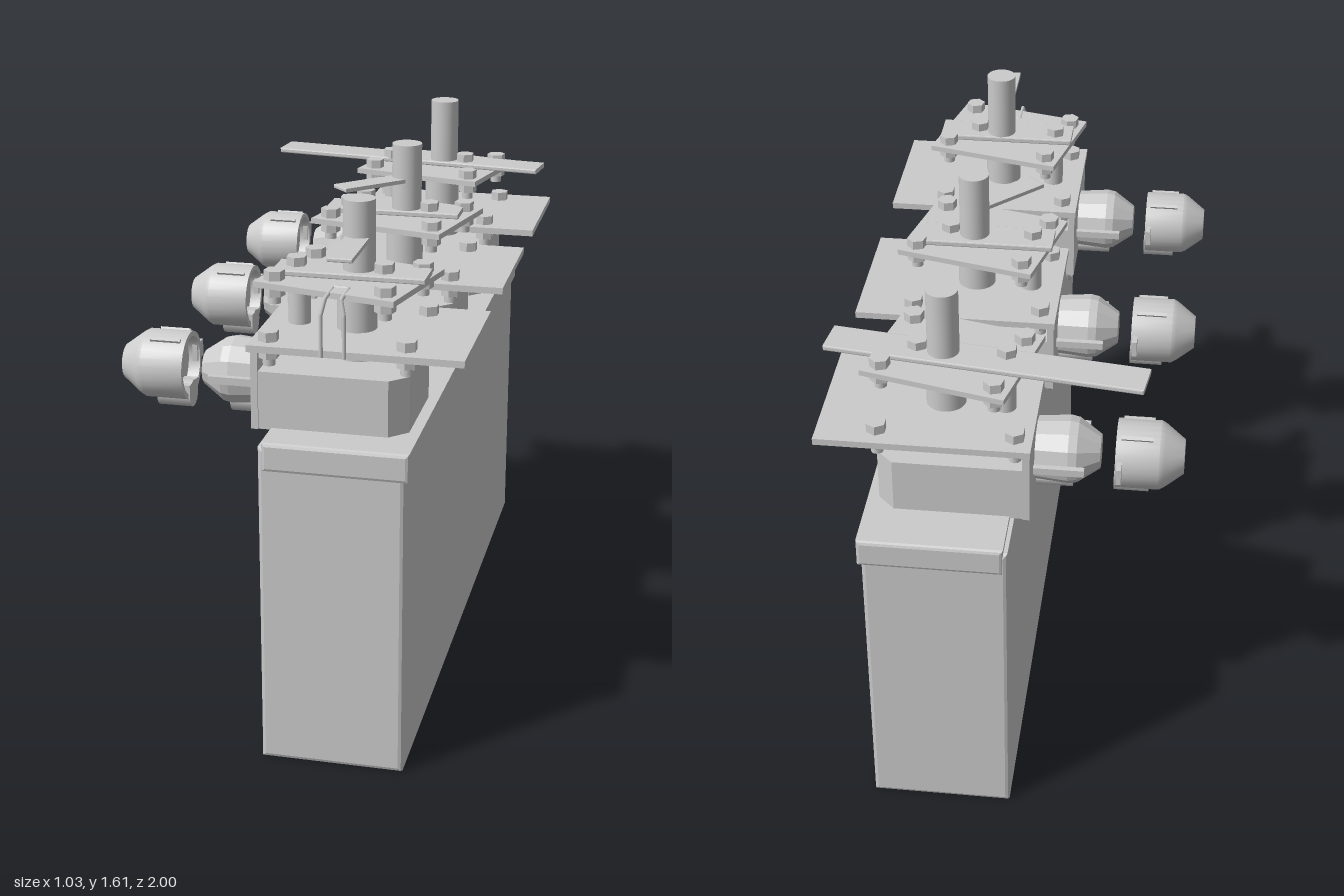
import * as THREE from 'three';
import { toCreasedNormals } from 'three/addons/utils/BufferGeometryUtils.js';

const mat = new THREE.MeshStandardMaterial({ color: 0xcccccc, side: THREE.DoubleSide });
const flatMat = new THREE.MeshStandardMaterial({ color: 0xcccccc, side: THREE.DoubleSide, flatShading: true });

function add(parent, name, geometry, x = 0, y = 0, z = 0, material = mat) {
  const mesh = new THREE.Mesh(geometry, material);
  mesh.name = name;
  mesh.position.set(x, y, z);
  parent.add(mesh);
  return mesh;
}

const box = (w, h, d) => new THREE.BoxGeometry(w, h, d);
const rod = (r, h, sides = 24) => new THREE.CylinderGeometry(r, r, h, sides);

// Block with softly bevelled edges, centred on its origin
function bevelBox(w, h, d, b) {
  const s = new THREE.Shape([[-1, -1], [1, -1], [1, 1], [-1, 1]].map(
    ([i, j]) => new THREE.Vector2(i * (w / 2 - b), j * (h / 2 - b))));
  const g = new THREE.ExtrudeGeometry(s, { depth: d - 2 * b, bevelSize: b, bevelThickness: b, bevelSegments: 2 });
  return toCreasedNormals(g.translate(0, 0, b - d / 2), 0.3);
}

// Hex bolt through a plate: head above, nut and shank end below
function bolt(parent, x, z, top, bottom) {
  const g = new THREE.Group();
  g.name = 'bolt';
  g.position.set(x, 0, z);
  add(g, 'boltHead', rod(0.03, 0.028, 6), 0, top + 0.014, 0, flatMat);
  add(g, 'boltNut', rod(0.03, 0.03, 6), 0, bottom - 0.015, 0, flatMat);
  add(g, 'boltShank', rod(0.018, top - bottom + 0.05, 12), 0, bottom - 0.052 + (top - bottom + 0.05) / 2, 0);
  parent.add(g);
}

// Body of revolution lying along x; points are [distance towards -x, radius]
function lathe(points, sides) {
  const g = new THREE.LatheGeometry(points.map(([a, r]) => new THREE.Vector2(r, a)), sides);
  return toCreasedNormals(g.rotateZ(Math.PI / 2), 0.5);
}

// Pedestal outline with the two right corners cut off
function pedestalGeometry() {
  const c = 0.05, w = 0.195;
  const s = new THREE.Shape([[-0.08, -w], [0.345 - c, -w], [0.345, -w + c],
    [0.345, w - c], [0.345 - c, w], [-0.08, w]].map(p => new THREE.Vector2(...p)));
  return new THREE.ExtrudeGeometry(s, { depth: 0.17, bevelEnabled: false }).rotateX(-Math.PI / 2);
}

// Plug and socket pair on the left-hand side of a unit
function connector() {
  const g = new THREE.Group();
  g.name = 'connector';
  g.position.set(0, 1.085, 0.01);
  add(g, 'plug', lathe([[0.08, 0.09], [0.19, 0.1], [0.215, 0.095], [0.28, 0.05], [0.28, 0.001]], 12), 0, 0, 0, flatMat);
  add(g, 'socketCup', lathe([[0.36, 0.001], [0.36, 0.085], [0.325, 0.085], [0.325, 0.1], [0.45, 0.1],
    [0.465, 0.092], [0.52, 0.05], [0.52, 0.001]], 28));
  // Clamp lugs beneath plug and socket
  for (const [x, len] of [[-0.145, 0.11], [-0.37, 0.1]]) {
    add(g, 'clampLug', rod(0.04, len, 16).rotateZ(Math.PI / 2), x, -0.085, 0);
    add(g, 'lugWeb', box(len, 0.04, 0.08), x, -0.07, 0);
  }
  for (const s of [-1, 1]) {
    add(g, 'guidePin', box(0.15, 0.022, 0.018), -0.165, 0.005, s * 0.115);
    // Ribs lying along the cup wall
    const rib = add(g, 'cupRib', box(0.09, 0.012, 0.012), -0.385, 0.087, s * 0.05);
    rib.rotation.x = s * 0.52;
  }
  add(g, 'cupTab', box(0.015, 0.05, 0.06), -0.338, 0.01, -0.105);
  return g;
}

// One switch unit without its handle
function switchUnit() {
  const u = new THREE.Group();
  u.name = 'switchUnit';
  add(u, 'pedestal', pedestalGeometry(), 0, 0.98, 0);
  add(u, 'sideWall', box(0.02, 0.235, 0.4), -0.085, 1.098, 0);
  add(u, 'basePlate', box(0.61, 0.02, 0.448), 0.205, 1.225, 0);
  for (const x of [-0.05, 0.34])
    for (const z of [-0.16, 0.165]) bolt(u, x, z, 1.235, 1.215);

  // Turned upper plate with its corner bolts
  const upper = new THREE.Group();
  upper.name = 'upperPlateGroup';
  upper.position.set(0.145, 0, 0.015);
  upper.rotation.y = -0.235;
  add(upper, 'upperPlate', box(0.43, 0.017, 0.34), 0, 1.382, 0);
  for (const x of [-0.17, 0.17])
    for (const z of [-0.125, 0.125]) bolt(upper, x, z, 1.39, 1.374);
  u.add(upper);

  add(u, 'column', rod(0.057, 0.23), 0.165, 1.265, 0.002);
  add(u, 'shaft', rod(0.046, 0.46), 0.17, 1.38, 0);
  add(u, 'standoffPost', rod(0.032, 0.14), -0.005, 1.305, -0.01);
  bolt(u, -0.01, 0, 1.405, 1.374);
  bolt(u, 0.245, 0.015, 1.405, 1.374);

  // Pull ring hanging by the pedestal
  const ring = add(u, 'pullRing', new THREE.TorusGeometry(0.066, 0.007, 8, 28), -0.06, 0.915, 0.01);
  ring.rotation.set(0, Math.PI / 2, 0);
  ring.rotateX(0.13);
  u.add(connector());
  return u;
}

// Thin flat pointer running out from the shaft at a given turn
function pointer(parent, turn) {
  const p = new THREE.Group();
  p.name = 'pointer';
  p.position.set(0.17, 1.5, 0);
  p.rotation.y = turn;
  add(p, 'pointerBlade', bevelBox(0.07, 0.012, 0.24, 0.003), 0, 0, 0.125);
  parent.add(p);
}

export function createModel() {
  const model = new THREE.Group();
  model.name = 'switchCabinet';

  // Tank and its lid, which overhangs on the right
  add(model, 'tank', bevelBox(0.415, 0.97, 1.99, 0.012), 0.158, 0.485, 0);
  add(model, 'lid', bevelBox(0.415, 0.085, 2, 0.01), 0.17, 0.943, 0);

  const units = [0.685, 0.01, -0.643].map(z => {
    const u = switchUnit();
    u.position.z = z;
    model.add(u);
    return u;
  });

  // Short crossbars and pointers on the first two units
  add(units[0], 'crossbar', bevelBox(0.435, 0.018, 0.112, 0.004), 0.152, 1.398, 0.008);
  add(units[1], 'crossbar', bevelBox(0.415, 0.018, 0.112, 0.004), 0.133, 1.398, -0.007);
  pointer(units[0], 0);
  pointer(units[1], -Math.PI / 4);

  // Long lever on the last unit
  const lever = add(model, 'longLever', bevelBox(0.92, 0.016, 0.112, 0.004), 0.048, 1.4, -0.665);
  lever.rotation.y = -0.13;

  // Wire latch bent over the edge of the first unit
  const path = new THREE.CurvePath();
  const pts = [[0.115, 1.22, 0.235], [0.115, 1.34, 0.235], [0.125, 1.385, 0.225], [0.125, 1.388, 0.13],
    [0.17, 1.388, 0.13], [0.17, 1.385, 0.225], [0.18, 1.34, 0.235], [0.18, 1.22, 0.235]]
    .map(p => new THREE.Vector3(...p));
  for (let i = 1; i < pts.length; i++) path.add(new THREE.LineCurve3(pts[i - 1], pts[i]));
  add(units[0], 'wireLatch', new THREE.TubeGeometry(path, 90, 0.006, 8));

  return model;
}
